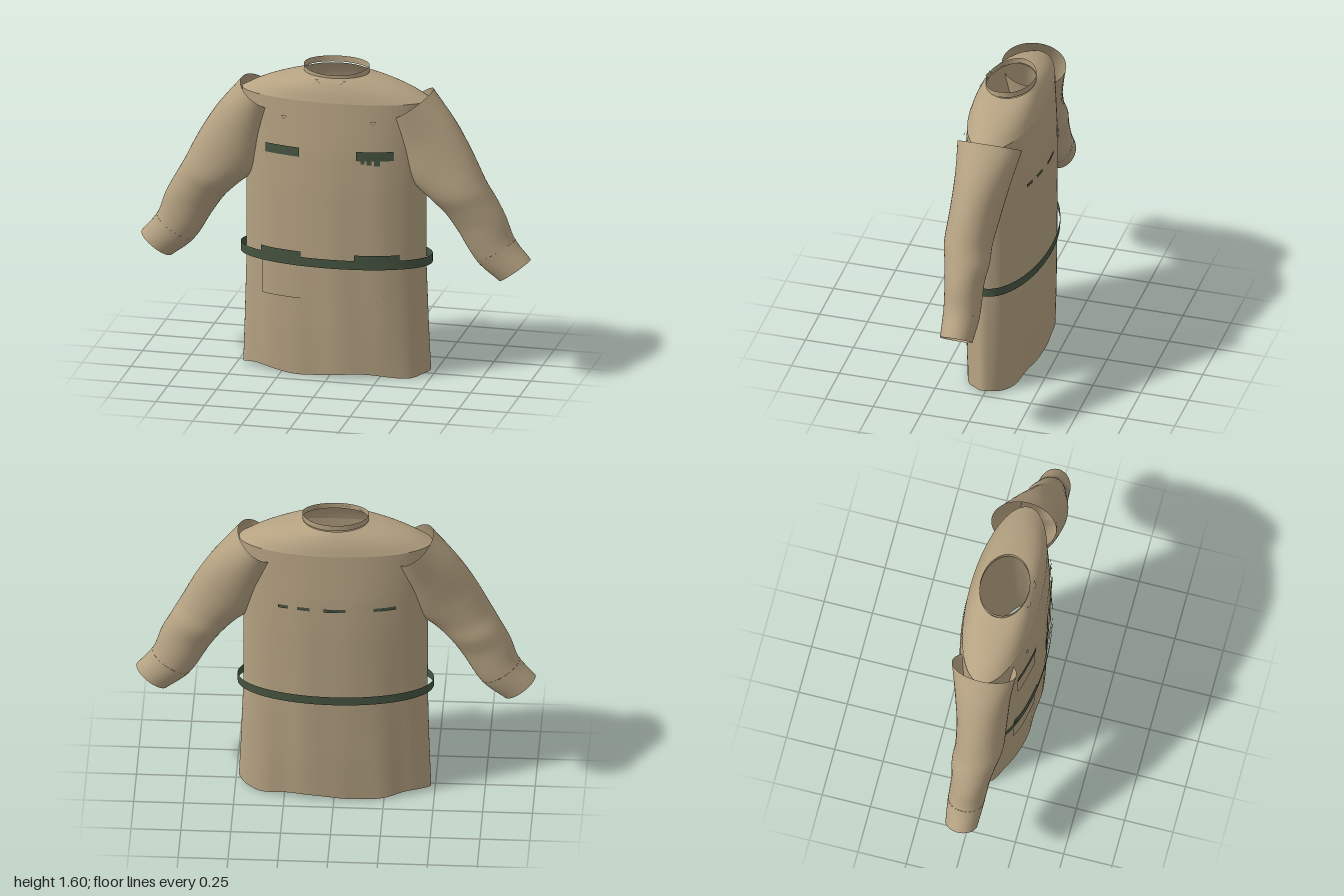
import * as THREE from 'three';

const khaki = new THREE.MeshStandardMaterial({ name: 'khaki cloth', color: 0xb5a282, side: THREE.DoubleSide });
const green = new THREE.MeshStandardMaterial({ name: 'dark green cloth', color: 0x465441, side: THREE.DoubleSide });

// Grid surface: point(u, v) with u around or across and v upward
function surface(name, mat, nu, nv, closed, point) {
  const pos = [], idx = [], cols = closed ? nu : nu + 1;
  for (let j = 0; j <= nv; j++)
    for (let i = 0; i < cols; i++) pos.push(...point(i / nu, j / nv));
  for (let j = 0; j < nv; j++)
    for (let i = 0; i < nu; i++) {
      const a = j * cols + i, b = j * cols + ((i + 1) % cols), c = a + cols, d = b + cols;
      idx.push(a, b, c, b, d, c);
    }
  const g = new THREE.BufferGeometry();
  g.setAttribute('position', new THREE.Float32BufferAttribute(pos, 3));
  g.setIndex(idx);
  g.computeVertexNormals();
  const m = new THREE.Mesh(g, mat);
  m.name = name;
  return m;
}

const curve = pts => new THREE.CatmullRomCurve3(pts.map(p => new THREE.Vector3(...p)));

// Body cross-sections: half width, height, half depth
const BODY = [[0.482, 0, 0.178], [0.472, 0.25, 0.189], [0.461, 0.6, 0.198], [0.463, 1.0, 0.202],
  [0.47, 1.2, 0.198], [0.485, 1.45, 0.18]];
const YOKE = curve([[0.485, 1.45, 0.18], [0.4, 1.495, 0.166], [0.29, 1.535, 0.146], [0.165, 1.565, 0.122]]);

function bodyRadii(y) {
  let k = 0;
  while (k < BODY.length - 2 && y > BODY[k + 1][1]) k++;
  const [a, b] = [BODY[k], BODY[k + 1]], t = (y - a[1]) / (b[1] - a[1]);
  return [a[0] + (b[0] - a[0]) * t, a[2] + (b[2] - a[2]) * t];
}

// Soft vertical folds, fading toward the shoulders
const fold = (th, y) => 0.004 * Math.sin(9 * th + 2 * y) * Math.max(0, 1 - y / 1.45) + 0.002 * Math.sin(14 * th) * (1 - y / 1.45);

function bodyPoint(u, v) {
  const th = u * Math.PI * 2, y = v * 1.45, [rx, rz] = bodyRadii(y);
  const f = fold(th, y), hem = (0.012 + 0.011 * Math.sin(5 * th)) * Math.max(0, 1 - v * 8);
  return [(rx + f) * Math.sin(th), y + hem, (rz + f) * Math.cos(th)];
}

// Thin piece lying on the front (side 1) or back (side -1) of the body
function patch(name, mat, x0, x1, y0, y1, off, side = 1) {
  return surface(name, mat, 10, 4, false, (u, v) => {
    const x = side > 0 ? x0 + (x1 - x0) * u : x1 + (x0 - x1) * u;
    const y = y0 + (y1 - y0) * v, [rx, rz] = bodyRadii(y);
    const th = side > 0 ? Math.asin(x / rx) : Math.PI - Math.asin(x / rx);
    return [x, y, side * (rz * Math.sqrt(1 - (x / rx) ** 2) + off) + fold(th, y)];
  });
}

// Sleeve outlines from shoulder to wrist: outer edge, inner edge, and front/back depth
const OUTER = curve([[0.49, 1.49, 0], [0.61, 1.345, 0], [0.70, 1.2, 0], [0.78, 1.04, 0], [0.825, 0.96, 0],
  [0.875, 0.865, 0], [0.92, 0.745, 0], [1.0, 0.645, 0]]);
const INNER = curve([[0.295, 1.355, 0], [0.34, 1.18, 0], [0.4, 1.03, 0], [0.495, 0.945, 0], [0.57, 0.87, 0],
  [0.63, 0.785, 0], [0.73, 0.625, 0], [0.845, 0.53, 0]]);
const DEPTH = curve([[0.162, -0.17, 0], [0.15, -0.13, 0], [0.152, -0.1, 0], [0.156, -0.085, 0], [0.138, -0.088, 0],
  [0.12, -0.075, 0], [0.108, -0.075, 0], [0.097, -0.064, 0]]);

function sleeve(name, s, t0, t1, rows, grow) {
  return surface(name, khaki, 40, rows, true, (u, v) => {
    const t = t1 + (t0 - t1) * v, th = u * Math.PI * 2 * s;
    const o = OUTER.getPoint(t), n = INNER.getPoint(t), d = DEPTH.getPoint(t);
    const a = (1 + grow) * Math.sin(s * u * Math.PI * 2) * s, b = (1 + grow) * Math.cos(th);
    const w = a * s;
    return [s * ((o.x + n.x) / 2 + w * (o.x - n.x) / 2), (o.y + n.y) / 2 + w * (o.y - n.y) / 2,
      (d.x + d.y) / 2 + b * (d.x - d.y) / 2];
  });
}

function flatTriangle(name, pts) {
  const g = new THREE.BufferGeometry();
  g.setAttribute('position', new THREE.Float32BufferAttribute(pts.flat(), 3));
  g.computeVertexNormals();
  const m = new THREE.Mesh(g, khaki);
  m.name = name;
  return m;
}

export function createModel() {
  const coat = new THREE.Group();
  coat.name = 'coat';

  // Body and rounded shoulder yoke, open at the hem and neck
  coat.add(surface('body', khaki, 96, 40, true, bodyPoint));
  coat.add(surface('shoulderYoke', khaki, 96, 12, true, (u, v) => {
    const p = YOKE.getPoint(v), th = u * Math.PI * 2;
    return [p.x * Math.sin(th), p.y, p.z * Math.cos(th)];
  }));

  // Stand collar, lower at the front
  coat.add(surface('collar', khaki, 64, 2, true, (u, v) => {
    const th = u * Math.PI * 2, dip = Math.max(0, Math.cos(th)) * 0.022;
    return [0.166 * Math.sin(th), 1.57 - dip + v * 0.031, 0.123 * Math.cos(th)];
  }));

  // Belt band standing clear of the sides
  coat.add(surface('belt', green, 96, 1, true, (u, v) => {
    const th = u * Math.PI * 2;
    return [0.492 * Math.sin(th), 0.587 + v * 0.047, 0.212 * Math.cos(th)];
  }));

  for (const s of [1, -1]) {
    const side = s > 0 ? 'left' : 'right';
    const span = (a, b) => (s > 0 ? [a, b] : [-b, -a]);

    // Sleeves and cuffs
    coat.add(sleeve(side + 'Sleeve', s, 0, 6 / 7, 42, 0));
    coat.add(sleeve(side + 'Cuff', s, 6 / 7, 1, 6, 0.01));

    // Pockets and flaps
    coat.add(patch(side + 'ChestPocket', khaki, ...span(0.15, 0.325), 1.0, 1.17, 0.006));
    coat.add(patch(side + 'ChestFlap', green, ...span(0.147, 0.33), 1.162, 1.21, 0.011));
    coat.add(patch(side + 'HipPocket', khaki, ...span(0.142, 0.352), 0.41, 0.61, 0.007));
    coat.add(patch(side + 'HipFlap', green, ...span(0.138, 0.356), 0.6, 0.662, 0.014));

    // Collar tips and shoulder tabs
    coat.add(flatTriangle(side + 'CollarTip',
      [[s * 0.03, 1.553, 0.136], [s * 0.08, 1.556, 0.133], [s * 0.05, 1.54, 0.15]]));
    coat.add(flatTriangle(side + 'ShoulderTab',
      [[s * 0.215, 1.365, 0.176], [s * 0.245, 1.365, 0.172], [s * 0.23, 1.35, 0.182]]));
  }

  // Small trim pieces below the left chest flap
  for (const [a, b, y] of [[0.17, 0.19, 1.145], [0.2, 0.225, 1.14], [0.235, 0.265, 1.135]])
    coat.add(patch('chestTrim', green, a, b, y, 1.165, 0.011));

  // Broken trim line across the back
  for (const [a, b] of [[0.23, 0.28], [0.12, 0.185], [-0.06, 0.05], [-0.31, -0.2]])
    coat.add(patch('backTrim', green, a, b, 1.135, 1.153, 0.006, -1));

  return coat;
}
